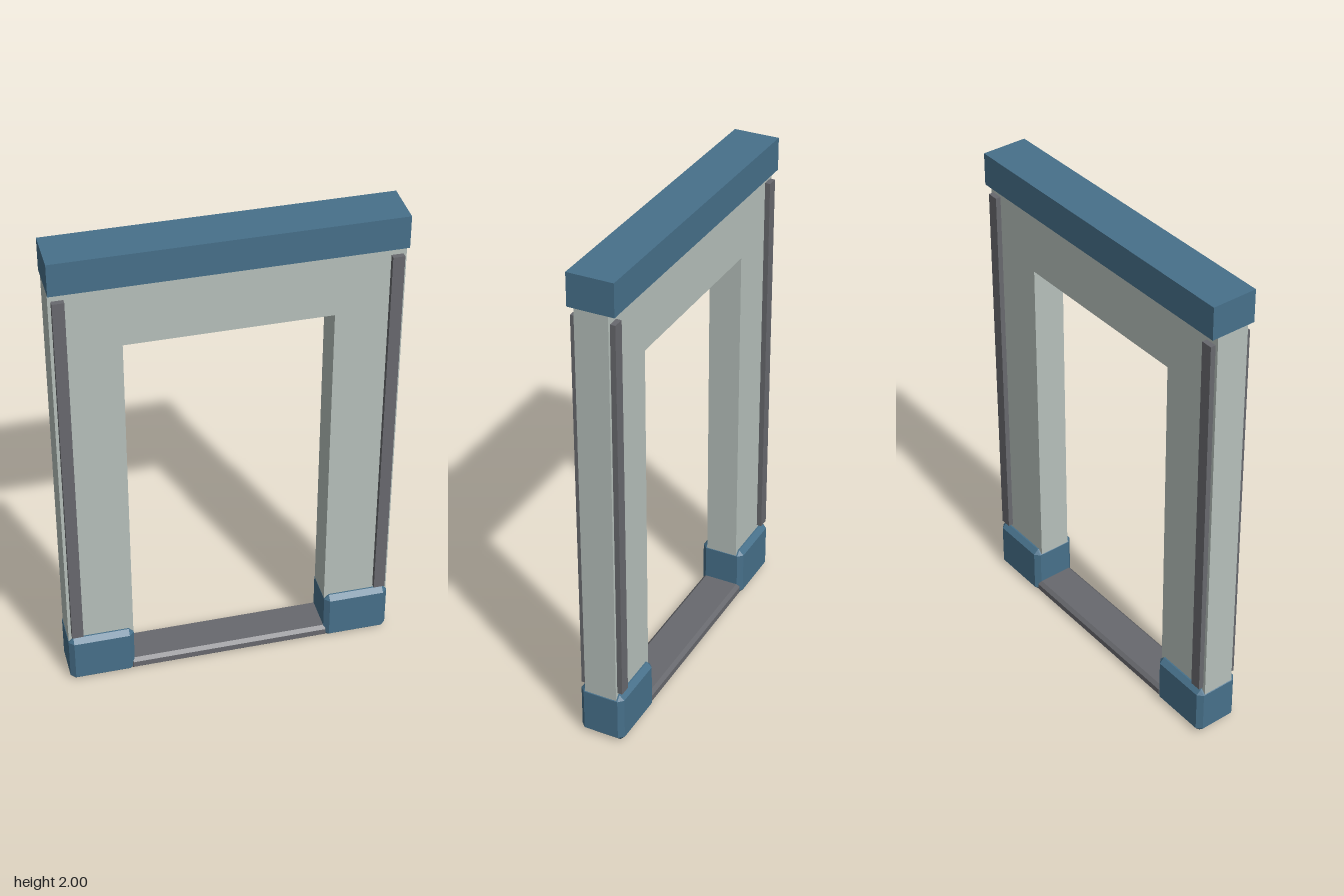
import * as THREE from 'three';
import { ConvexGeometry } from 'three/addons/geometries/ConvexGeometry.js';

const mat = (color) => new THREE.MeshStandardMaterial({ color, flatShading: true });

// Box with every edge cut at 45 degrees
function chamferBox(w, h, d, c) {
  const points = [];
  for (const x of [-w / 2, w / 2])
    for (const y of [-h / 2, h / 2])
      for (const z of [-d / 2, d / 2]) {
        const ix = x - Math.sign(x) * c, iy = y - Math.sign(y) * c, iz = z - Math.sign(z) * c;
        points.push(
          new THREE.Vector3(x, iy, iz),
          new THREE.Vector3(ix, y, iz),
          new THREE.Vector3(ix, iy, z)
        );
      }
  return new ConvexGeometry(points);
}

export function createModel() {
  const model = new THREE.Group();
  model.name = 'doorFrame';
  const blue = mat(0x47708a), stone = mat(0xb6c0bb), metal = mat(0x68696e);

  const add = (name, geometry, material, x, y, z) => {
    const mesh = new THREE.Mesh(geometry, material);
    mesh.name = name;
    mesh.position.set(x, y, z);
    model.add(mesh);
  };

  // Wall: two jambs and a header in one piece
  const outline = new THREE.Shape([
    [-0.665, 0.2], [-0.4, 0.2], [-0.4, 1.6], [0.4, 1.6],
    [0.4, 0.2], [0.665, 0.2], [0.665, 1.88], [-0.665, 1.88],
  ].map(([x, y]) => new THREE.Vector2(x, y)));
  const wall = new THREE.ExtrudeGeometry(outline, { depth: 0.134, bevelEnabled: false });
  add('wall', wall, stone, 0, 0, -0.067);

  // Top beam and threshold
  add('lintel', new THREE.BoxGeometry(1.334, 0.133, 0.186), blue, 0, 1.9335, 0);
  add('threshold', chamferBox(0.84, 0.053, 0.17, 0.014), metal, 0, 0.0275, 0);

  // Foot blocks and trim strips on both sides
  for (const side of [-1, 1]) {
    const label = side > 0 ? 'left' : 'right';
    add(label + 'Foot', chamferBox(0.267, 0.217, 0.186, 0.02), blue, side * 0.5335, 0.1085, 0);
    for (const face of [-1, 1]) {
      const name = label + (face > 0 ? 'Front' : 'Back') + 'Strip';
      add(name, new THREE.BoxGeometry(0.046, 1.6, 0.026), metal, side * 0.63, 1.03, face * 0.075);
    }
  }
  return model;
}
